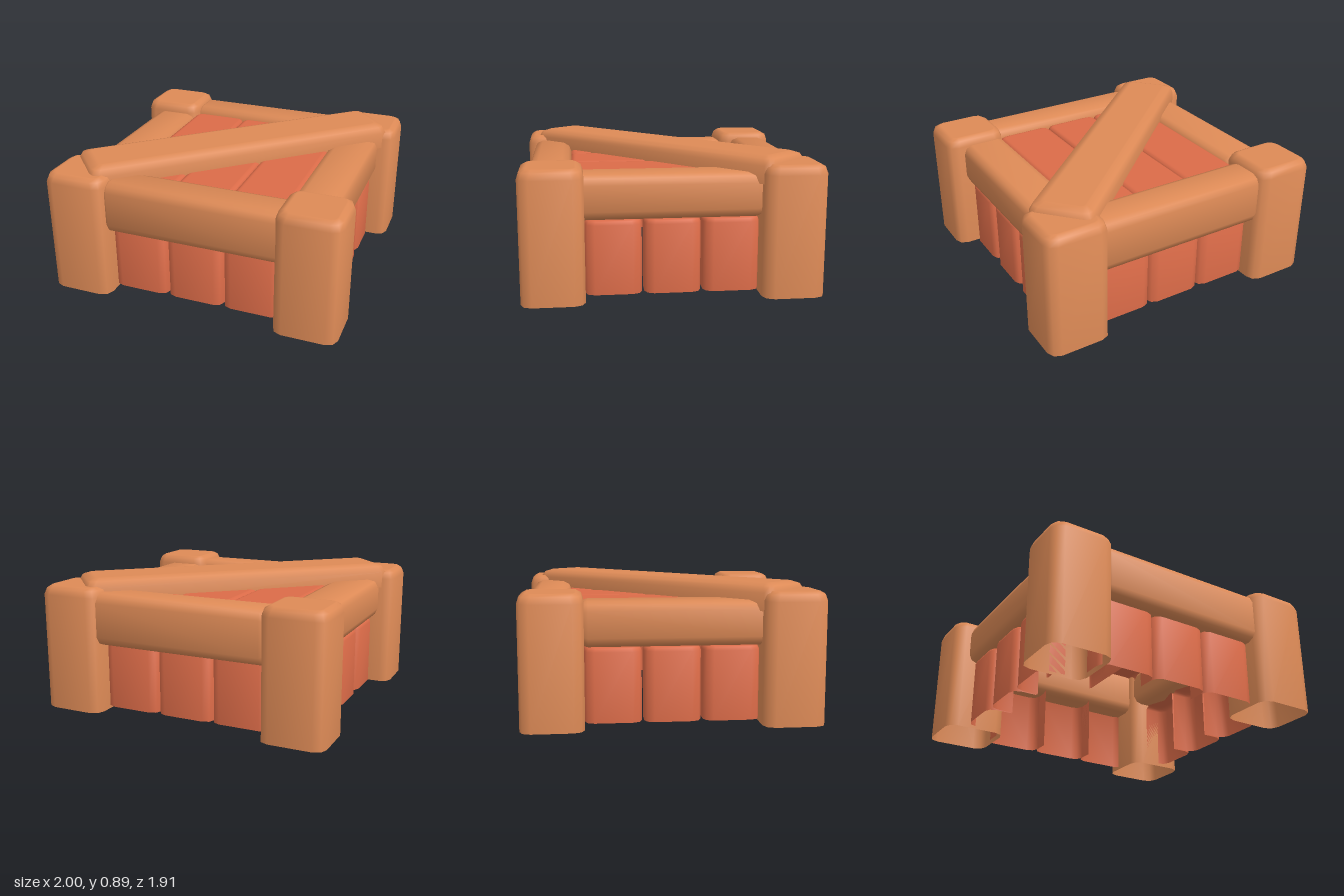
import * as THREE from 'three';
import { toCreasedNormals } from 'three/addons/utils/BufferGeometryUtils.js';

// Every timber is an open shell, so both sides show
const wood = new THREE.MeshStandardMaterial({ color: 0xdd8a56, side: THREE.DoubleSide });
const redWood = new THREE.MeshStandardMaterial({ color: 0xdb6b48, side: THREE.DoubleSide });

// Rounded rectangle ring at height y, counter-clockwise seen from above
function ring(w, d, r, y) {
  const pts = [];
  const corners = [[1, 1], [-1, 1], [-1, -1], [1, -1]];
  corners.forEach(([sx, sz], q) => {
    for (let k = 0; k <= 2; k++) {
      const a = (q + k / 2) * Math.PI / 2;
      pts.push(sx * (w / 2 - r) + r * Math.cos(a), y, -(sz * (d / 2 - r) + r * Math.sin(a)));
    }
  });
  return pts;
}

// Hollow timber: open at y = 0, bevelled and capped at y = h.
// With openBack it is a channel without its -z face.
function timber(w, h, d, r, bevel, rise = bevel, openBack = false) {
  const n = 12;
  const inset = (b, y, radius) => ring(w - b * 2, d - b * 2, radius, y);
  const pos = [
    ...inset(0, 0, r),
    ...inset(0, h - rise, r),
    ...inset(bevel * 0.3, h - rise * 0.3, r),
    ...inset(bevel, h, r * 0.6),
    ...inset(bevel + 0.01, h, r * 0.5), // keeps the cap flat
    0, h, 0,
  ];
  const index = [];
  for (let i = openBack ? 5 : 0; i < n; i++) {
    const j = (i + 1) % n;
    for (let k = 0; k < 4; k++) {
      const a = k * n + i, b = k * n + j;
      index.push(a, b, b + n, a, b + n, a + n);
    }
    index.push(5 * n, 4 * n + i, 4 * n + j);
  }
  const g = new THREE.BufferGeometry();
  g.setAttribute('position', new THREE.Float32BufferAttribute(pos, 3));
  g.setIndex(index);
  return toCreasedNormals(g, Math.PI / 3);
}

export function createModel() {
  const model = new THREE.Group();
  model.name = 'crate';

  const add = (name, geometry, material, x, y, z, parent = model) => {
    const mesh = new THREE.Mesh(geometry, material);
    mesh.name = name;
    mesh.position.set(x, y, z);
    parent.add(mesh);
    return mesh;
  };

  // Corner posts
  const post = timber(0.425, 0.845, 0.4, 0.07, 0.045, 0.06);
  for (const x of [-1, 1]) {
    for (const z of [-1, 1]) add('cornerPost', post, wood, x * 0.7875, 0, z * 0.755);
  }

  // Front and back rails
  const longRail = timber(0.35, 1.225, 0.28, 0.06, 0.05);
  for (const [name, z] of [['frontRail', 0.765], ['backRail', -0.777]]) {
    add(name, longRail, wood, 0.61, 0.635, z).rotation.z = Math.PI / 2;
  }

  // Side rails
  const sideRail = timber(0.315, 1.21, 0.285, 0.06, 0.05, 0.08);
  for (const [name, x] of [['leftRail', 0.733], ['rightRail', -0.738]]) {
    add(name, sideRail, wood, x, 0.643, 0.6).rotation.x = -Math.PI / 2;
  }

  // Walls of three slats each, built facing +z and turned into place
  const endSlat = timber(0.395, 0.48, 0.23, 0.06, 0.03, 0.03, true);
  const sideSlat = timber(0.36, 0.48, 0.23, 0.06, 0.03, 0.03, true);
  const walls = [
    ['front', endSlat, 0.395, 0.71, 0],
    ['left', sideSlat, 0.375, 0.745, 1],
    ['back', endSlat, 0.395, 0.71, 2],
    ['right', sideSlat, 0.375, 0.745, 3],
  ];
  for (const [side, slat, step, out, turn] of walls) {
    const wall = new THREE.Group();
    wall.name = side + 'Wall';
    wall.rotation.y = turn * Math.PI / 2;
    for (const i of [-1, 0, 1]) add(side + 'Slat', slat, redWood, i * step, 0.02, out, wall);
    model.add(wall);
  }

  // Three lid planks
  const plank = timber(0.395, 0.19, 1.29, 0.045, 0.025);
  for (const i of [-1, 0, 1]) add('lidPlank', plank, redWood, i * 0.395, 0.575, -0.015);

  // Diagonal brace across the lid
  const brace = timber(2.2, 0.173, 0.42, 0.05, 0.07, 0.06);
  add('diagonalBrace', brace, wood, 0, 0.72, 0).rotation.y = Math.atan2(0.73, 0.8);

  return model;
}
